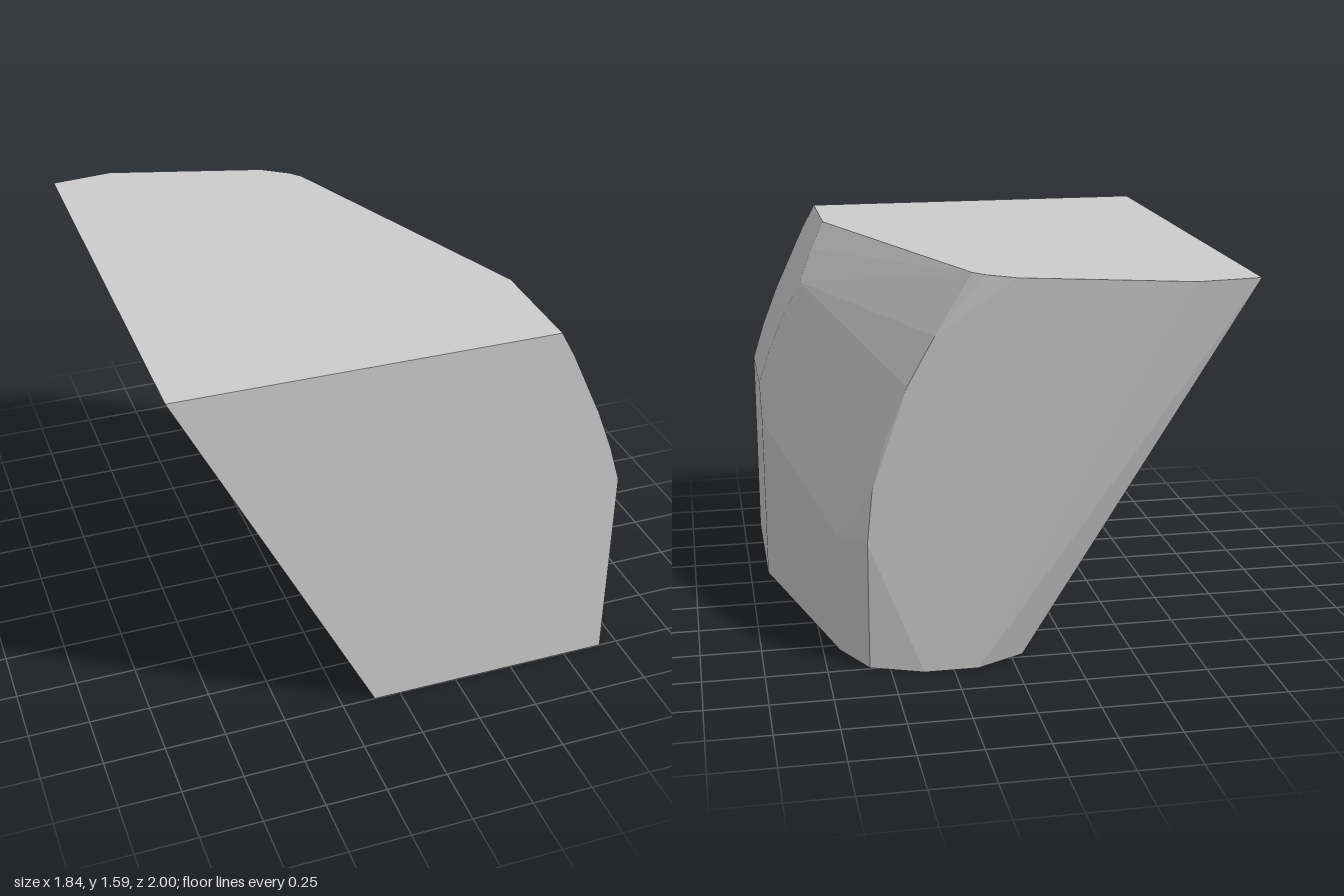
import * as THREE from 'three';
import { ConvexGeometry } from 'three/addons/geometries/ConvexGeometry.js';

const H = 1.59; // full height

export function createModel() {
  const group = new THREE.Group();
  const grey = new THREE.MeshStandardMaterial({ color: 0xcccccc });
  grey.name = 'light grey';

  const points = [];
  const add = (x, y, z) => points.push(new THREE.Vector3(x, y, z));

  // base outline (x, z)
  [[-0.11, 1], [0.92, 1], [0.92, 0.36], [0.68, -0.55], [0.58, -0.74],
    [0.37, -0.82], [0.15, -0.82], [-0.05, -0.72], [-0.11, -0.54]]
    .forEach(([x, z]) => add(x, 0, z));

  // top outline (x, z)
  [[-0.92, 1], [0.61, 1], [0.61, 0.54], [0.15, -0.68], [0.11, -0.73],
    [0, -0.81], [-0.65, -1], [-0.91, -0.97]]
    .forEach(([x, z]) => add(x, H, z));

  // curved shoulder (x, y, rear z), running straight back from the front
  [[0.67, 1.48, 0.48], [0.73, 1.35, 0.4], [0.8, 1.2, 0.46], [0.87, 1.02, 0.51],
    [0.92, 0.86, 0.54]]
    .forEach(([x, y, z]) => { add(x, y, 1); add(x, y, z); });
  add(0.92, 0.72, 0.4);

  // rear end of the shoulder, set inwards
  add(0.3, 1.35, -0.7);
  add(0.41, 1.15, -0.695);
  add(0.5, 0.93, -0.69);
  add(0.555, 0.74, -0.715);
  add(0.58, 0.53, -0.74);
  add(0.68, 0.5, -0.55);

  const block = new THREE.Mesh(new ConvexGeometry(points), grey);
  block.name = 'leaningBlock';
  group.add(block);
  return group;
}
